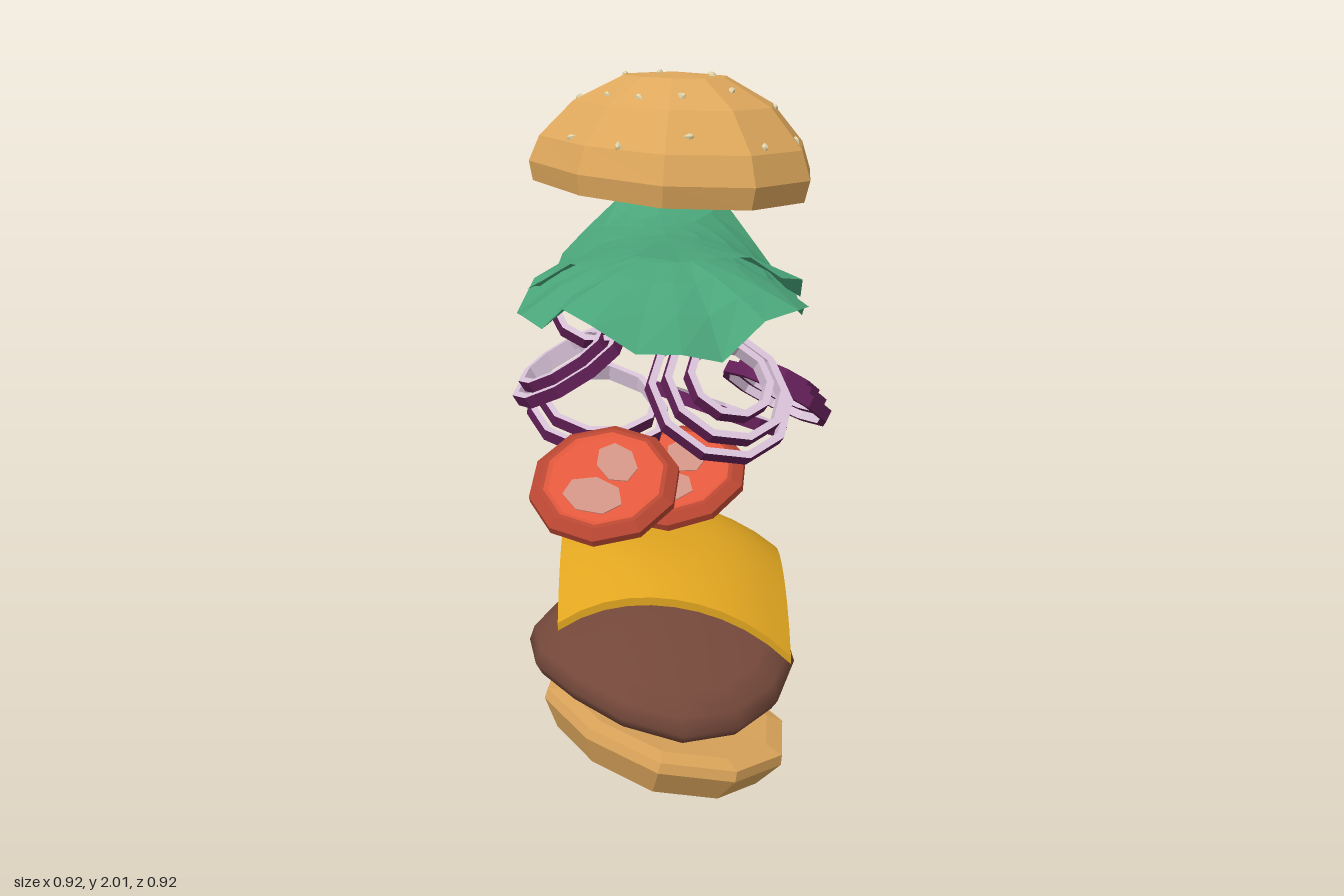
import * as THREE from 'three';
import { mergeVertices } from 'three/addons/utils/BufferGeometryUtils.js';

const UP = new THREE.Vector3(0, 1, 0);

function mat(color, flat = true, open = false) {
  return new THREE.MeshStandardMaterial({
    color, flatShading: flat, side: open ? THREE.DoubleSide : THREE.FrontSide,
  });
}

function part(name, geometry, material, parent) {
  const mesh = new THREE.Mesh(geometry, material);
  mesh.name = name;
  parent.add(mesh);
  return mesh;
}

// Lathe from [radius, y] pairs listed counterclockwise, with a corner on the x axis
function lathe(profile, sides) {
  const pts = profile.map(([r, y]) => new THREE.Vector2(r, y));
  return new THREE.LatheGeometry(pts, sides, Math.PI / 2);
}

// Move every vertex by a rule
function deform(geometry, rule) {
  const p = geometry.attributes.position;
  const v = new THREE.Vector3();
  for (let i = 0; i < p.count; i++) {
    rule(v.fromBufferAttribute(p, i));
    p.setXYZ(i, v.x, v.y, v.z);
  }
  geometry.computeVertexNormals();
  return geometry;
}

// Oval lathe, a little fuller on the diagonals; lean makes the front taller
function oval(profile, sides, rx, rz, lean = 0) {
  return deform(lathe(profile, sides), (v) => {
    const full = 1 + 0.04 * Math.sin(2 * Math.atan2(v.z, v.x)) ** 2;
    v.set(v.x * rx * full, v.y * (1 + lean * v.z), v.z * rz * full);
  });
}

// Place an object with its local up along a given direction
function place(obj, pos, normal) {
  obj.position.set(...pos);
  obj.quaternion.setFromUnitVectors(UP, new THREE.Vector3(...normal).normalize());
  return obj;
}

function onionRing(radius, parent, y) {
  const ring = new THREE.Group();
  ring.name = 'onionRing';
  const ri = radius - 0.02, h = 0.017;
  part('onionSkin', lathe([[ri, -h], [radius, -h], [radius, h]], 10), mat(0x642058, true, true), ring);
  part('onionFlesh', lathe([[radius, h], [ri, h], [ri, -h]], 10), mat(0xd9c3d9, true, true), ring);
  ring.position.y = y;
  parent.add(ring);
}

function tomatoSlice(radius) {
  const slice = new THREE.Group();
  slice.name = 'tomatoSlice';
  const r = radius, h = 0.028;
  part('tomatoSkin', lathe([[0.8 * r, -h], [0.86 * r, -h], [r, -0.01], [r, 0.01], [0.86 * r, h], [0.8 * r, h]], 10),
    mat(0xb84632), slice);
  part('tomatoFlesh', lathe([[0, -h + 0.004], [0.74 * r, -h + 0.004], [0.8 * r, -h]], 10), mat(0xe2583c), slice);
  part('tomatoFlesh', lathe([[0.8 * r, h], [0.74 * r, h - 0.004], [0, h - 0.004]], 10), mat(0xe2583c), slice);
  for (const [x, z, s, a] of [[-0.3, 0.1, 0.3, 0.3], [0.3, -0.05, 0.26, -0.4]]) {
    const core = part('tomatoCore', new THREE.CylinderGeometry(s * r, s * r, 2 * h - 0.003, 7), mat(0xcf9284), slice);
    core.position.set(x * r, 0, z * r);
    core.scale.z = 1.4;
    core.rotation.y = a;
  }
  return slice;
}

// Saddle-shaped leaf with a jagged, wavy edge: `across` and `along` give the
// height gained at the edge on the two diagonals
function lettuceLeaf(y, across, along, wave, rx, rz, lobes, phase) {
  const geo = new THREE.RingGeometry(0.001, 1, 22, 4);
  geo.rotateX(-Math.PI / 2);
  return deform(geo, (v) => {
    const r = Math.hypot(v.x, v.z), a = Math.atan2(v.z, v.x);
    const grow = 1 + 0.05 * r * r * Math.sin(5 * a + phase);
    const ruffle = Math.cos(lobes * a + phase) + 0.5 * Math.sin(9 * a - phase);
    const lift = (across * (v.x - v.z) ** 2 + along * (v.x + v.z) ** 2) / 2;
    v.set(v.x * rx * grow, y + lift + wave * r * r * r * ruffle, v.z * rz * grow);
  });
}

export function createModel() {
  const model = new THREE.Group();
  model.name = 'burger';
  const bread = mat(0xdea75c);

  // Bottom bun, tipped to one side
  const base = part('bottomBun', oval([[0, -0.2], [0.5, -0.183], [0.85, -0.115], [1, -0.03], [0.99, 0],
    [0.85, 0.01], [0, 0]], 10, 0.322, 0.375), bread, model);
  base.position.set(-0.01, 0.215, 0.005);
  base.rotation.set(0.1, 0, -0.2);

  // Patty, bent over from front to back
  const disc = oval([[0, -0.06], [0.4, -0.06], [0.8, -0.056], [0.95, -0.04], [1, 0], [0.96, 0.038],
    [0.82, 0.054], [0.4, 0.06], [0, 0.06]], 14, 0.35, 0.375);
  disc.deleteAttribute('uv');
  disc.deleteAttribute('normal');
  const patty = mergeVertices(disc, 1e-4);
  deform(patty, (v) => {
    v.y += 0.484 + 0.1 * v.x - 0.1 * v.z - 0.75 * v.z * v.z - 0.25 * v.x * v.x;
    v.x -= 0.03;
  });
  part('patty', patty, mat(0x74483a, false), model);

  // Cheese slice, corners hanging down
  const cheese = new THREE.BoxGeometry(0.605, 0.022, 0.605, 10, 1, 10).rotateY(Math.PI / 4);
  deform(cheese, (v) => {
    const r = Math.hypot(v.x, v.z);
    v.y += 0.778 - 2.3 * r ** 3 - 0.1 * v.x - 0.14 * v.z;
    v.x -= 0.012;
    v.z += 0.03;
  });
  part('cheese', cheese, mat(0xe0a520, false), model);

  // Tomato slices
  model.add(place(tomatoSlice(0.195), [-0.28, 0.995, 0.045], [-0.38, 0.88, 0.26]));
  model.add(place(tomatoSlice(0.2), [0.04, 0.91, -0.01], [-0.38, 0.92, 0.12]));

  // Onion rings: centre, direction faced, then [radius, lift] of each ring
  const onions = [
    [[-0.04, 1.225, 0.225], [-0.22, 0.74, 0.64], [[0.195, -0.01], [0.165, 0.03], [0.115, 0.06]]],
    [[0.325, 1.125, 0.115], [0.6, 0.8, 0.05], [[0.165, -0.015], [0.138, 0.008], [0.108, 0.025]]],
    [[0.2, 1.07, 0.01], [0.42, 0.9, 0.05], [[0.2, 0]]],
    [[0.0, 1.05, -0.275], [-0.12, 0.95, 0.3], [[0.2, 0], [0.17, 0.035]]],
    [[-0.12, 1.205, -0.26], [-0.36, 0.86, -0.34], [[0.17, 0], [0.135, 0.025]]],
    [[-0.02, 1.335, -0.265], [-0.25, 0.84, 0.5], [[0.115, 0]]],
  ];
  for (const [pos, normal, rings] of onions) {
    const cluster = place(new THREE.Group(), pos, normal);
    cluster.name = 'onionCluster';
    for (const [radius, lift] of rings) onionRing(radius, cluster, lift);
    model.add(cluster);
  }

  // Lettuce leaves, curled along opposite diagonals
  const green = mat(0x4aa57a, true, true);
  part('lowerLettuce', lettuceLeaf(1.56, -0.145, -0.125, 0.045, 0.37, 0.375, 4, 0.6), green, model)
    .position.set(-0.035, 0, 0.03);
  part('upperLettuce', lettuceLeaf(1.6, 0.045, -0.15, 0.03, 0.34, 0.345, 3, 2.2), green, model)
    .position.set(-0.03, 0, 0.02);

  // Top bun with a slightly hollow underside
  const crown = part('topBun', oval([[0, 0.05], [0.8, 0.035], [0.97, 0], [1, 0.05], [0.93, 0.115], [0.7, 0.203],
    [0.36, 0.266], [0, 0.275]], 10, 0.318, 0.38, 0.07), bread, model);
  crown.position.set(-0.015, 1.724, 0.02);
  crown.rotation.set(0.025, 0, -0.04);
  crown.updateMatrixWorld(true);

  // Sesame seeds, dropped onto the crown
  const seedGeo = lathe([[0, -0.012], [0.007, -0.007], [0.008, 0], [0, 0.014]], 6);
  const seedMat = mat(0xe0d3a8);
  const spots = [[-0.09, -0.28], [0.09, -0.25], [0.2, -0.21], [-0.03, -0.2], [-0.16, -0.15], [-0.05, -0.1], [0.1, -0.08],
    [0.25, -0.1], [-0.28, -0.05], [-0.18, -0.03], [-0.03, 0], [0.22, -0.01], [0.1, 0.05], [-0.18, 0.08], [-0.28, 0.11],
    [0.03, 0.12], [0.23, 0.12], [-0.13, 0.17], [0, 0.21], [0.15, 0.22], [-0.19, 0.25], [0.1, 0.33], [-0.04, 0.35]];
  const ray = new THREE.Raycaster();
  spots.forEach(([x, z], i) => {
    ray.set(new THREE.Vector3(x, 3, z), new THREE.Vector3(0, -1, 0));
    const hit = ray.intersectObject(crown)[0];
    const n = hit.face.normal.clone().transformDirection(crown.matrixWorld);
    const seed = part('sesameSeed', seedGeo, seedMat, model);
    place(seed, hit.point.toArray(), n.toArray());
    seed.rotateY(i * 2.4);
    seed.rotateX(Math.PI / 2);
  });

  return model;
}
